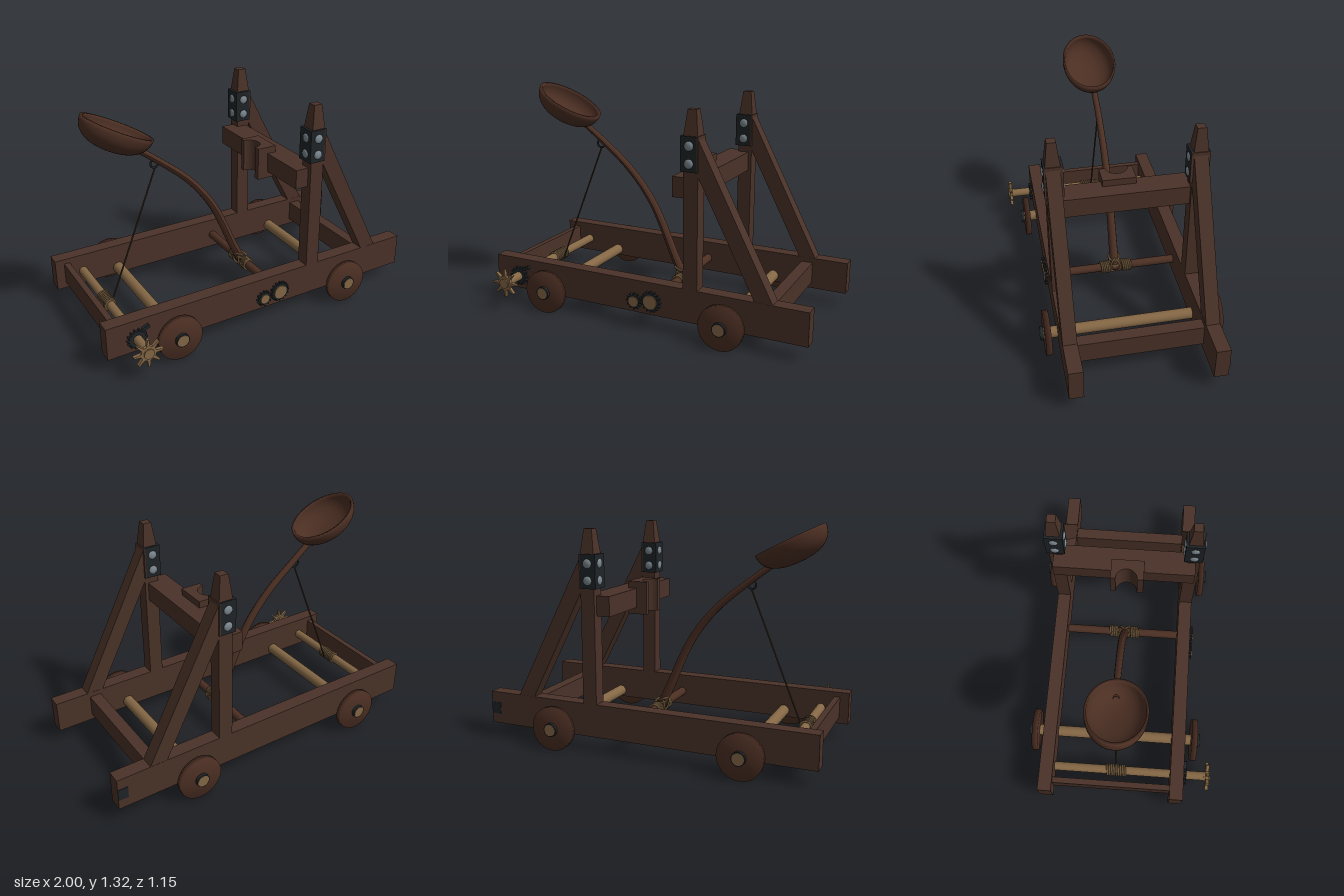
import * as THREE from 'three';
import { mergeVertices } from 'three/addons/utils/BufferGeometryUtils.js';

const mat = (name, color) => {
  const m = new THREE.MeshStandardMaterial({ color });
  m.name = name;
  return m;
};

export function createModel() {
  const root = new THREE.Group();
  root.name = 'catapult';
  const wood = mat('wood', 0x4a3228);
  const darkWood = mat('dark wood', 0x4c2f23);
  darkWood.side = THREE.DoubleSide;
  const paleWood = mat('pale wood', 0x846745);
  const iron = mat('iron', 0x1f2427);
  const steel = mat('steel', 0x7d8990);
  const rope = mat('rope', 0x6a5438);
  const cord = mat('dark cord', 0x3f3022);

  const add = (name, geo, m, x = 0, y = 0, z = 0) => {
    const mesh = new THREE.Mesh(geo, m);
    mesh.name = name;
    mesh.position.set(x, y, z);
    root.add(mesh);
    return mesh;
  };
  // Box given by its limits on each axis
  const box = (name, m, x0, x1, y0, y1, z0, z1) =>
    add(name, new THREE.BoxGeometry(x1 - x0, y1 - y0, z1 - z0), m,
      (x0 + x1) / 2, (y0 + y1) / 2, (z0 + z1) / 2);
  // Round bar lying along z
  const rod = (name, m, x, y, z0, z1, r, sides = 24) =>
    add(name, new THREE.CylinderGeometry(r, r, z1 - z0, sides).rotateX(Math.PI / 2), m,
      x, y, (z0 + z1) / 2);
  const extrude = (shape, depth) =>
    new THREE.ExtrudeGeometry(shape, { depth, bevelEnabled: false, curveSegments: 20 });
  // Toothed disc facing z; tip is the share of each tooth's width kept at its end
  const gear = (name, m, x, y, z0, z1, rIn, rOut, teeth, tip) => {
    const shape = new THREE.Shape();
    const step = Math.PI * 2 / teeth;
    for (let i = 0; i < teeth; i++) {
      [[-0.25, rIn], [-0.25 * tip, rOut], [0.25 * tip, rOut], [0.25, rIn]].forEach(([f, r], k) => {
        const a = (i + f) * step;
        shape[i + k ? 'lineTo' : 'moveTo'](r * Math.cos(a), r * Math.sin(a));
      });
    }
    shape.closePath();
    return add(name, extrude(shape, z1 - z0), m, x, y, z0);
  };
  const coil = (name, x, y, z0, z1, r, turns) => {
    for (let i = 0; i < turns; i++) {
      const z = z0 + (z1 - z0) * i / (turns - 1);
      add(name, new THREE.TorusGeometry(r, 0.007, 6, 20), rope, x, y, z).rotation.y = 0.12;
    }
  };

  // Frame sides, each with post, brace and iron fitting
  for (const [side, zc, out] of [['front', 0.37, 1], ['back', -0.43, -1]]) {
    const z0 = zc - 0.041, z1 = zc + 0.041;
    box(side + 'Rail', wood, -1, 1, 0.1, 0.295, z0, z1);
    box(side + 'Post', wood, 0.28, 0.365, 0.2, 1.15, z0, z1);
    const tip = new THREE.CylinderGeometry(0.025 * Math.SQRT2, 0.042 * Math.SQRT2, 0.14, 4)
      .rotateY(Math.PI / 4).toNonIndexed();
    tip.computeVertexNormals();
    add(side + 'PostTip', tip, wood, 0.321, 1.22, zc);

    const brace = new THREE.Shape();
    brace.moveTo(0.36, 1.145);
    brace.lineTo(0.36, 0.945);
    brace.lineTo(0.7, 0.29);
    brace.lineTo(0.803, 0.29);
    add(side + 'Brace', extrude(brace, 0.08), wood, 0, 0, zc - 0.04);

    const p0 = zc - (out > 0 ? 0.055 : 0.051), p1 = zc + (out > 0 ? 0.051 : 0.055);
    box(side + 'PostIron', iron, 0.265, 0.36, 0.96, 1.152, p0, p1);
    box(side + 'PostIronBacking', wood, 0.36, 0.367, 0.96, 1.152, p0, p1);
    for (const y of [1.005, 1.1]) {
      for (const z of [p0, p1]) {
        add('postBolt', new THREE.SphereGeometry(0.026, 16, 10).scale(1, 1, 0.4), steel, 0.315, y, z);
      }
      add('postBolt', new THREE.SphereGeometry(0.026, 16, 10).scale(0.4, 1, 1), steel, 0.265, y, zc);
    }
  }
  box('railPatch', iron, 0.94, 1, 0.16, 0.23, -0.474, -0.47);

  // Cross members
  box('frontCrossbar', wood, 0.715, 0.785, 0.137, 0.265, -0.4, 0.34);
  box('rearCrossbar', wood, -0.945, -0.91, 0.137, 0.265, -0.4, 0.34);
  box('stopBeam', wood, 0.2, 0.345, 0.805, 0.92, -0.445, 0.385);

  // Notched pad that catches the arm
  const pad = new THREE.Shape();
  pad.moveTo(0.135, -0.102);
  pad.lineTo(0.255, -0.102);
  pad.lineTo(0.255, 0.09);
  pad.lineTo(0.135, 0.09);
  pad.lineTo(0.135, 0.055);
  pad.absarc(0.135, -0.01, 0.063, Math.PI / 2, -Math.PI / 2, true);
  add('stopPad', extrude(pad, 0.195).rotateX(Math.PI / 2), wood, 0, 0.96, 0);

  // Wheels and axles
  for (const x of [-0.6, 0.535]) {
    rod('axle', paleWood, x, 0.14, -0.572, 0.512, 0.034);
    for (const [z0, z1, cap0, cap1] of [[0.453, 0.489, 0.492, 0.51], [-0.546, -0.51, -0.57, -0.552]]) {
      // Shared corners give the wheel softly rounded shading
      let disc = new THREE.CylinderGeometry(0.13, 0.13, z1 - z0, 40).rotateX(Math.PI / 2);
      disc.deleteAttribute('normal');
      disc.deleteAttribute('uv');
      disc = mergeVertices(disc);
      disc.computeVertexNormals();
      add('wheel', disc, darkWood, x, 0.14, (z0 + z1) / 2);
      rod('hubRing', iron, x, 0.14, cap0, cap1, 0.04);
    }
  }

  // Windlass with star handle, ratchet and rope
  rod('windlass', paleWood, -0.83, 0.185, -0.4, 0.56, 0.027);
  gear('windlassRatchet', iron, -0.83, 0.185, 0.413, 0.43, 0.048, 0.06, 14, 0.5);
  gear('windlassHandle', paleWood, -0.83, 0.185, 0.55, 0.57, 0.045, 0.085, 8, 0.3);
  rod('handleHub', paleWood, -0.83, 0.185, 0.54, 0.578, 0.03);
  const pawl = box('pawl', iron, -0.8, -0.755, 0.23, 0.25, 0.412, 0.43);
  pawl.rotation.z = 0.4;
  coil('windlassRope', -0.83, 0.185, -0.06, 0.05, 0.032, 9);

  // Torsion bar with its gears and lashings
  rod('torsionBar', darkWood, 0.085, 0.185, -0.4, 0.41, 0.026);
  for (const [x, y, r, n] of [[0.085, 0.185, 0.052, 16], [-0.022, 0.17, 0.038, 12]]) {
    gear('torsionGear', iron, x, y, 0.413, 0.43, r, r + 0.011, n, 0.6);
    rod('gearHub', paleWood, x, y, 0.41, 0.436, r * 0.8);
  }
  coil('torsionLashing', 0.085, 0.185, -0.11, -0.062, 0.033, 5);
  coil('torsionLashing', 0.085, 0.185, 0.028, 0.07, 0.033, 5);
  for (const s of [-1, 1]) {
    const cross = add('armLashing', new THREE.TorusGeometry(0.045, 0.007, 6, 20), rope, 0.08, 0.195, -0.016);
    cross.rotation.set(0, s * 0.75, 0);
    const wrap = add('armLashing', new THREE.TorusGeometry(0.033, 0.007, 6, 20), rope,
      0.066 - s * 0.008, 0.225 + s * 0.015, -0.016);
    wrap.rotation.set(Math.PI / 2, -0.4, 0);
  }

  // Throwing arm, thinner towards the bowl
  const path = new THREE.CatmullRomCurve3([
    [0.09, 0.17, -0.016], [0.03, 0.295, -0.016], [-0.12, 0.62, -0.016],
    [-0.27, 0.815, -0.016], [-0.475, 0.99, -0.015], [-0.6, 1.085, -0.01],
  ].map(p => new THREE.Vector3(...p)));
  const armSteps = 24, armSides = 10;
  const arm = new THREE.TubeGeometry(path, armSteps, 0.028, armSides);
  const v = new THREE.Vector3(), pos = arm.attributes.position;
  for (let i = 0; i < pos.count; i++) {
    const u = Math.floor(i / (armSides + 1)) / armSteps;
    const c = path.getPointAt(u);
    v.fromBufferAttribute(pos, i).sub(c).multiplyScalar(1 - 0.35 * u).add(c);
    pos.setXYZ(i, v.x, v.y, v.z);
  }
  arm.computeVertexNormals();
  add('throwingArm', arm, darkWood);

  // Oval bowl: outer wall up from the base, over the rim, inner wall down
  const profile = [];
  const wall = (r, depth, t) => new THREE.Vector2(
    r * Math.pow(Math.sin(t), 0.85), -depth * Math.pow(Math.max(0, Math.cos(t)), 0.85));
  for (let i = 0; i <= 14; i++) profile.push(wall(1, 0.135, i / 14 * Math.PI / 2));
  for (let i = 14; i >= 0; i--) profile.push(wall(0.92, 0.118, i / 14 * Math.PI / 2));
  const bowl = add('bowl', new THREE.LatheGeometry(profile, 48).scale(0.215, 1, 0.165), darkWood,
    -0.692, 1.228, 0);
  bowl.rotation.z = -0.469;

  // Ring under the arm and the pull rope
  add('ropeRing', new THREE.TorusGeometry(0.024, 0.006, 8, 24), iron, -0.485, 0.968, -0.014);
  const pull = new THREE.LineCurve3(
    new THREE.Vector3(-0.48, 0.95, -0.014), new THREE.Vector3(-0.795, 0.17, -0.01));
  add('pullRope', new THREE.TubeGeometry(pull, 1, 0.005, 8), cord);

  return root;
}
